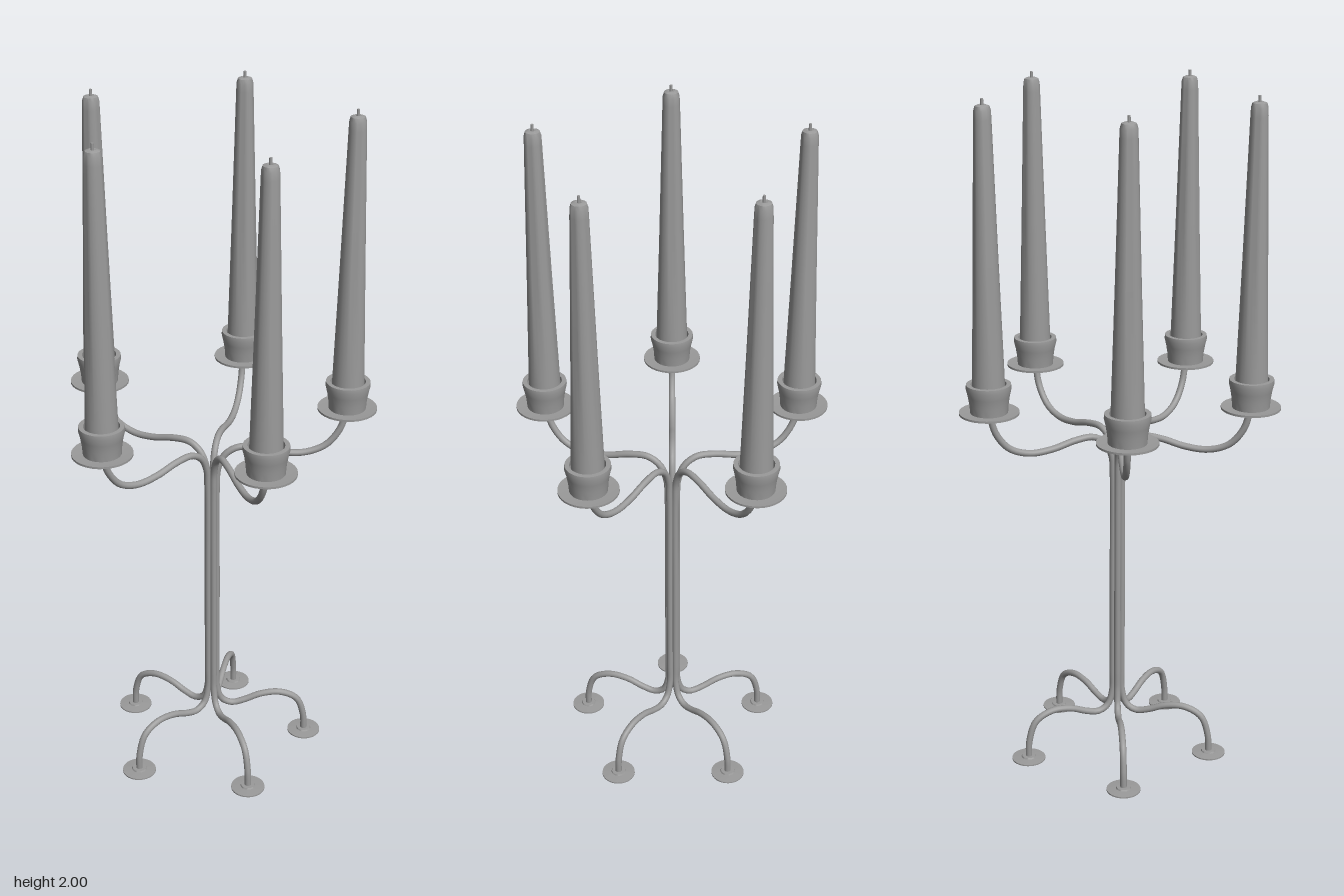
import * as THREE from 'three';
import { toCreasedNormals } from 'three/addons/utils/BufferGeometryUtils.js';

const material = new THREE.MeshStandardMaterial({ color: 0x9a9a9a, side: THREE.DoubleSide });
const ARMS = 5;
const CANDLE_R = 0.387; // distance of the candles from the stem axis
const FOOT_R = 0.287;

const points = (list) => list.map(([x, y]) => new THREE.Vector2(x, y));

function addMesh(parent, name, geometry, x = 0) {
  const mesh = new THREE.Mesh(geometry, material);
  mesh.name = name;
  mesh.position.x = x;
  parent.add(mesh);
}

// Turned part with crisp edges between its bands
function turned(profile, segments = 32) {
  return toCreasedNormals(new THREE.LatheGeometry(points(profile), segments), 0.6);
}

// One bent rod: foot, leg, stem and candle arm
function rodGeometry() {
  const path = [
    [FOOT_R, 0.004], [0.284, 0.06], [0.262, 0.12], [0.21, 0.146], [0.15, 0.142],
    [0.1, 0.123], [0.06, 0.115], [0.03, 0.132], [0.015, 0.18], [0.014, 0.25],
    [0.014, 0.55], [0.014, 0.88], [0.018, 0.94], [0.038, 0.985], [0.075, 1.008],
    [0.13, 1.005], [0.2, 0.988], [0.27, 0.985], [0.33, 1.008], [0.37, 1.06], [CANDLE_R, 1.125],
  ].map(([r, y]) => new THREE.Vector3(r, y, 0));
  return new THREE.TubeGeometry(new THREE.CatmullRomCurve3(path), 120, 0.0098, 12);
}

export function createModel() {
  const model = new THREE.Group();
  model.name = 'candelabrum';

  const rod = rodGeometry();
  const foot = turned([[0, 0], [0.05, 0], [0.05, 0.004], [0.022, 0.006], [0.02, 0.01], [0, 0.01]]);
  const plate = turned([[0, 1.118], [0.06, 1.118], [0.085, 1.121], [0.085, 1.127], [0.06, 1.125], [0, 1.125]]);
  const cup = turned([
    [0, 1.123], [0.053, 1.123], [0.055, 1.15], [0.059, 1.175], [0.064, 1.196],
    [0.063, 1.208], [0.05, 1.208], [0.048, 1.18], [0.047, 1.15], [0, 1.15],
  ]);
  const candle = turned([
    [0, 1.14], [0.047, 1.14], [0.0455, 1.22], [0.0355, 1.55], [0.0245, 1.945],
    [0.0235, 1.968], [0.02, 1.98], [0.01, 1.984], [0, 1.98],
  ], 24);
  const wick = new THREE.CylinderGeometry(0.004, 0.005, 0.03, 8).translate(0, 1.985, 0);

  for (let i = 0; i < ARMS; i++) {
    const branch = new THREE.Group();
    branch.name = `branch${i + 1}`;
    branch.rotation.y = Math.PI / 2 + (i * 2 * Math.PI) / ARMS;
    branch.position.z = 0.036;
    addMesh(branch, 'rod', rod);
    addMesh(branch, 'foot', foot, FOOT_R);
    addMesh(branch, 'dripPlate', plate, CANDLE_R);
    addMesh(branch, 'candleCup', cup, CANDLE_R);
    addMesh(branch, 'candle', candle, CANDLE_R);
    addMesh(branch, 'wick', wick, CANDLE_R);
    model.add(branch);
  }
  return model;
}
